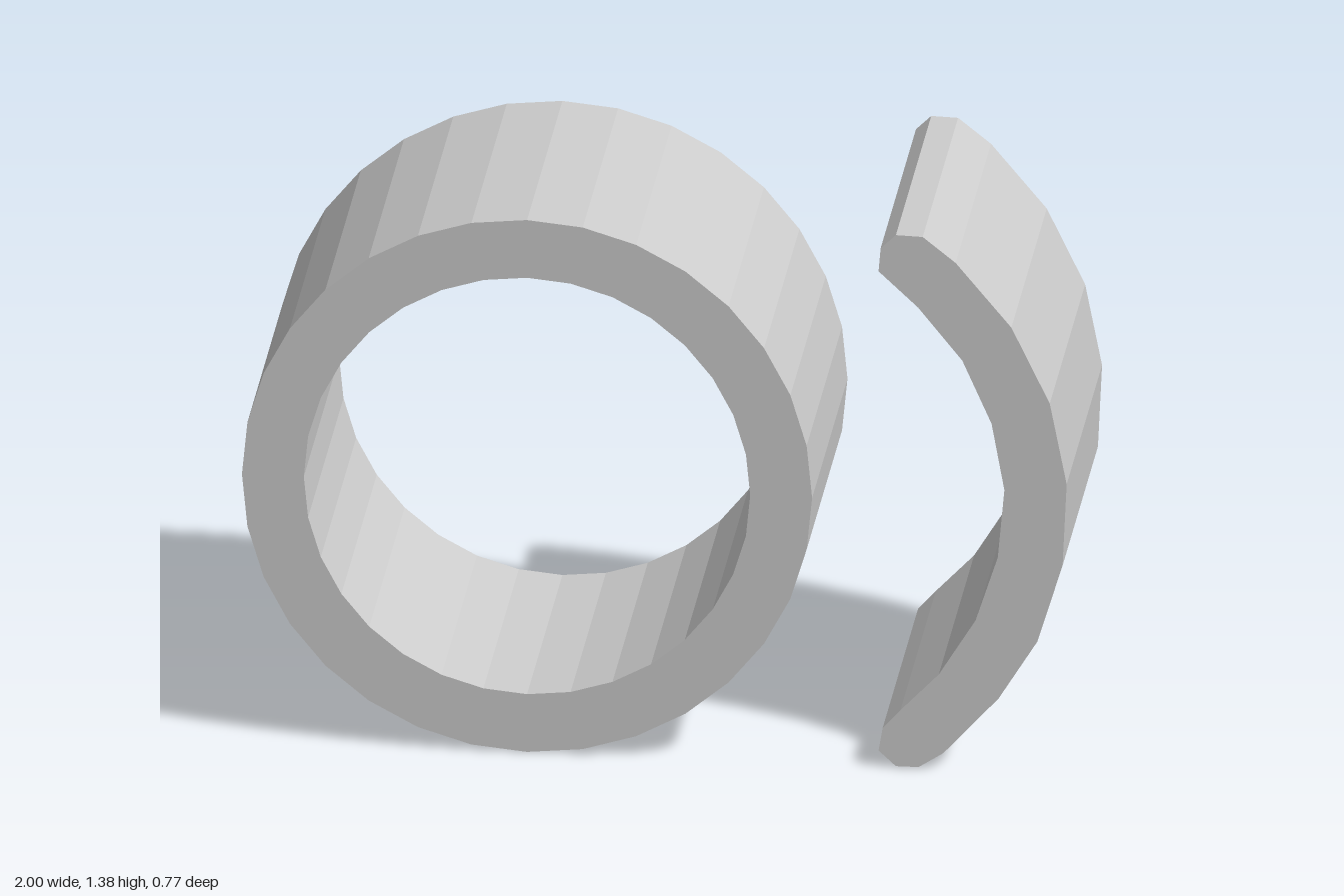
import * as THREE from 'three';

const DEPTH = 0.77;

// Straight extrusion centred on z = 0
function extrude(name, shape, material) {
  const geometry = new THREE.ExtrudeGeometry(shape, { depth: DEPTH, bevelEnabled: false });
  geometry.translate(0, 0, -DEPTH / 2);
  const mesh = new THREE.Mesh(geometry, material);
  mesh.name = name;
  return mesh;
}

// Regular polygon with a corner at the top
function polygon(cx, cy, radius, sides) {
  return Array.from({ length: sides }, (_, i) => {
    const a = Math.PI / 2 + (i / sides) * Math.PI * 2;
    return new THREE.Vector2(cx + radius * Math.cos(a), cy + radius * Math.sin(a));
  });
}

export function createModel() {
  const group = new THREE.Group();
  const grey = new THREE.MeshStandardMaterial({ color: 0xcccccc });
  grey.name = 'lightGrey';

  // Faceted closed ring
  const ring = new THREE.Shape(polygon(-0.309, 0.694, 0.691, 32));
  ring.holes.push(new THREE.Path(polygon(-0.309, 0.694, 0.541, 32)));
  group.add(extrude('ring', ring, grey));

  // Curved shield with rounded tips, outline listed clockwise
  const outline = [
    // upper tip
    [0.543, 1.29], [0.548, 1.35], [0.585, 1.386], [0.65, 1.384],
    // outer curve
    [0.73, 1.32], [0.865, 1.158], [0.958, 0.965], [0.999, 0.757],
    [0.989, 0.545], [0.928, 0.345], [0.834, 0.193], [0.7, 0.045],
    // lower tip
    [0.64, 0.006], [0.585, 0.006], [0.543, 0.045], [0.553, 0.104], [0.596, 0.152],
    // inner curve
    [0.689, 0.249], [0.778, 0.393], [0.832, 0.559], [0.848, 0.735],
    [0.817, 0.906], [0.746, 1.067], [0.639, 1.2],
  ].map(([x, y]) => new THREE.Vector2(x, y));
  group.add(extrude('curvedShield', new THREE.Shape(outline), grey));

  return group;
}
